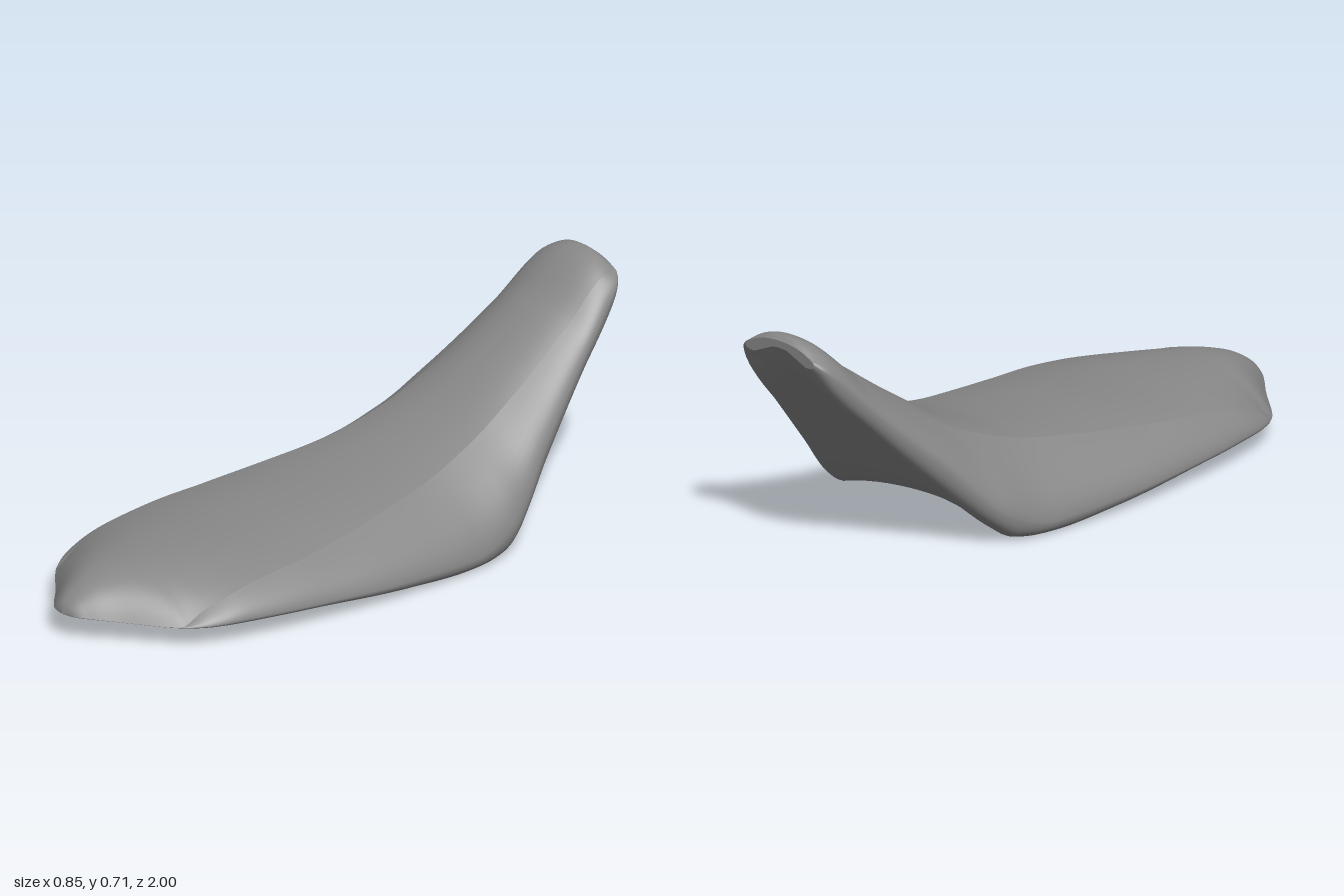
import * as THREE from 'three';

// Smooth monotone curve through [z, value] pairs listed from front to back
function profile(points) {
  const p = points.slice().reverse();
  const d = p.slice(1).map((q, i) => (q[1] - p[i][1]) / (q[0] - p[i][0]));
  const m = p.map((q, i) => {
    if (i === 0) return d[0];
    if (i === p.length - 1) return d[i - 1];
    return d[i - 1] * d[i] <= 0 ? 0 : (2 * d[i - 1] * d[i]) / (d[i - 1] + d[i]);
  });
  return (z) => {
    let i = 0;
    while (i < p.length - 2 && z > p[i + 1][0]) i++;
    const h = p[i + 1][0] - p[i][0];
    const t = (z - p[i][0]) / h, t2 = t * t, t3 = t2 * t;
    return p[i][1] * (2 * t3 - 3 * t2 + 1) + m[i] * h * (t3 - 2 * t2 + t)
      + p[i + 1][1] * (3 * t2 - 2 * t3) + m[i + 1] * h * (t3 - t2);
  };
}

// Outline: half width, seam half width, and heights along the seat
const halfWidth = profile([[1, 0.002], [0.99, 0.045], [0.96, 0.085], [0.9, 0.15], [0.8, 0.27], [0.77, 0.3],
  [0.7, 0.345], [0.6, 0.375], [0.4, 0.405], [0.1, 0.423], [-0.2, 0.412], [-0.4, 0.385], [-0.5, 0.345],
  [-0.6, 0.3], [-0.8, 0.225], [-0.92, 0.19], [-0.97, 0.172], [-0.99, 0.155], [-1, 0.138]]);
const seamX = profile([[1, 0.29], [0.78, 0.29], [0.6, 0.312], [0.4, 0.312], [0.2, 0.29], [0, 0.26],
  [-0.2, 0.225], [-0.4, 0.195], [-0.6, 0.17], [-0.8, 0.15], [-1, 0.134]]);
const topY = profile([[1, 0.08], [0.99, 0.1], [0.96, 0.127], [0.9, 0.16], [0.8, 0.185], [0.6, 0.199], [0.4, 0.205],
  [0.2, 0.22], [0, 0.235], [-0.2, 0.265], [-0.4, 0.335], [-0.6, 0.455], [-0.8, 0.592], [-0.98, 0.715], [-1, 0.702]]);
const seamY = profile([[1, 0.079], [0.79, 0.066], [0.7, 0.108], [0.55, 0.15], [0.2, 0.187], [0, 0.211],
  [-0.2, 0.243], [-0.4, 0.308], [-0.6, 0.415], [-0.8, 0.55], [-0.97, 0.67], [-1, 0.668]]);
const edgeY = profile([[1, 0.078], [0.8, 0.065], [0.6, 0.072], [0.3, 0.063], [0, 0.05], [-0.25, 0.045],
  [-0.42, 0.1], [-0.6, 0.27], [-0.8, 0.46], [-0.95, 0.61], [-1, 0.658]]);
const rimY = profile([[1, 0.076], [0.8, 0.062], [0.4, 0.048], [0, 0.015], [-0.2, 0.001], [-0.3, 0.002],
  [-0.38, 0.012], [-0.44, 0.05], [-0.6, 0.2], [-0.8, 0.4], [-0.95, 0.56], [-1, 0.645]]);
const baseY = profile([[1, 0.077], [0.8, 0.07], [0.4, 0.055], [0, 0.032], [-0.2, 0.022], [-0.3, 0.03],
  [-0.4, 0.075], [-0.6, 0.25], [-0.8, 0.455], [-0.95, 0.61], [-1, 0.68]]);

const ROWS = 120;
const rows = Array.from({ length: ROWS + 1 }, (_, i) => Math.cos((Math.PI * i) / ROWS));

// Crowned upper panel, left to right between the seams
function coverSection(z) {
  const s = Math.min(seamX(z), halfWidth(z) * 0.995);
  const t = topY(z), drop = t - seamY(z), pts = [];
  for (let i = -14; i <= 14; i++) {
    const u = i / 14;
    pts.push([s * u, t - drop * Math.abs(u) ** 2.3, z]);
  }
  return pts;
}

// Side panel, rounded lower edge and hollowed underside as one band
function shellSection(z) {
  const w = halfWidth(z), s = Math.min(seamX(z), w * 0.995);
  const sy = seamY(z), e = edgeY(z), b = rimY(z), c = baseY(z);
  const inner = w - Math.min(0.055, w * 0.25);
  const bezier = (p, q, r, t) => [0, 1].map((k) =>
    (1 - t) ** 2 * p[k] + 2 * t * (1 - t) * q[k] + t * t * r[k]);
  const half = [];
  for (let i = 0; i < 10; i++) {
    half.push(bezier([s, sy], [s + (w - s) * 0.92, sy - (sy - e) * 0.5], [w, e], i / 10));
  }
  for (let i = 0; i < 8; i++) half.push(bezier([w, e], [w, b], [inner, b], i / 8));
  for (let i = 0; i < 8; i++) {
    const u = 1 - i / 8;
    half.push([inner * u, c + (b - c) * u * u]);
  }
  const mirrored = half.slice().reverse().map(([x, y]) => [-x, y]);
  return [...half, [0, c], ...mirrored].map(([x, y]) => [x, y, z]);
}

// Skin a list of equal-length sections
function loft(sections) {
  const n = sections[0].length, index = [];
  for (let r = 0; r < sections.length - 1; r++) {
    for (let i = 0; i < n - 1; i++) {
      const a = r * n + i, b = a + n;
      index.push(a, a + 1, b, a + 1, b + 1, b);
    }
  }
  const g = new THREE.BufferGeometry();
  g.setAttribute('position', new THREE.Float32BufferAttribute(sections.flat(2), 3));
  g.setIndex(index);
  g.computeVertexNormals();
  return g;
}

export function createModel() {
  const model = new THREE.Group();
  model.name = 'saddle';
  const grey = new THREE.MeshStandardMaterial({ color: 0x888888, side: THREE.DoubleSide });
  grey.name = 'grey';
  const add = (name, geometry) => {
    const mesh = new THREE.Mesh(geometry, grey);
    mesh.name = name;
    model.add(mesh);
  };

  add('seatCover', loft(rows.map(coverSection)));
  add('sidesAndBase', loft(rows.map(shellSection)));

  // Narrow end face at the tip of the backrest
  const rim = [...coverSection(-1), ...shellSection(-1)];
  const centre = rim.map(() => [0, 0.69, -1]);
  add('backrestTip', loft([rim, centre]));
  return model;
}
